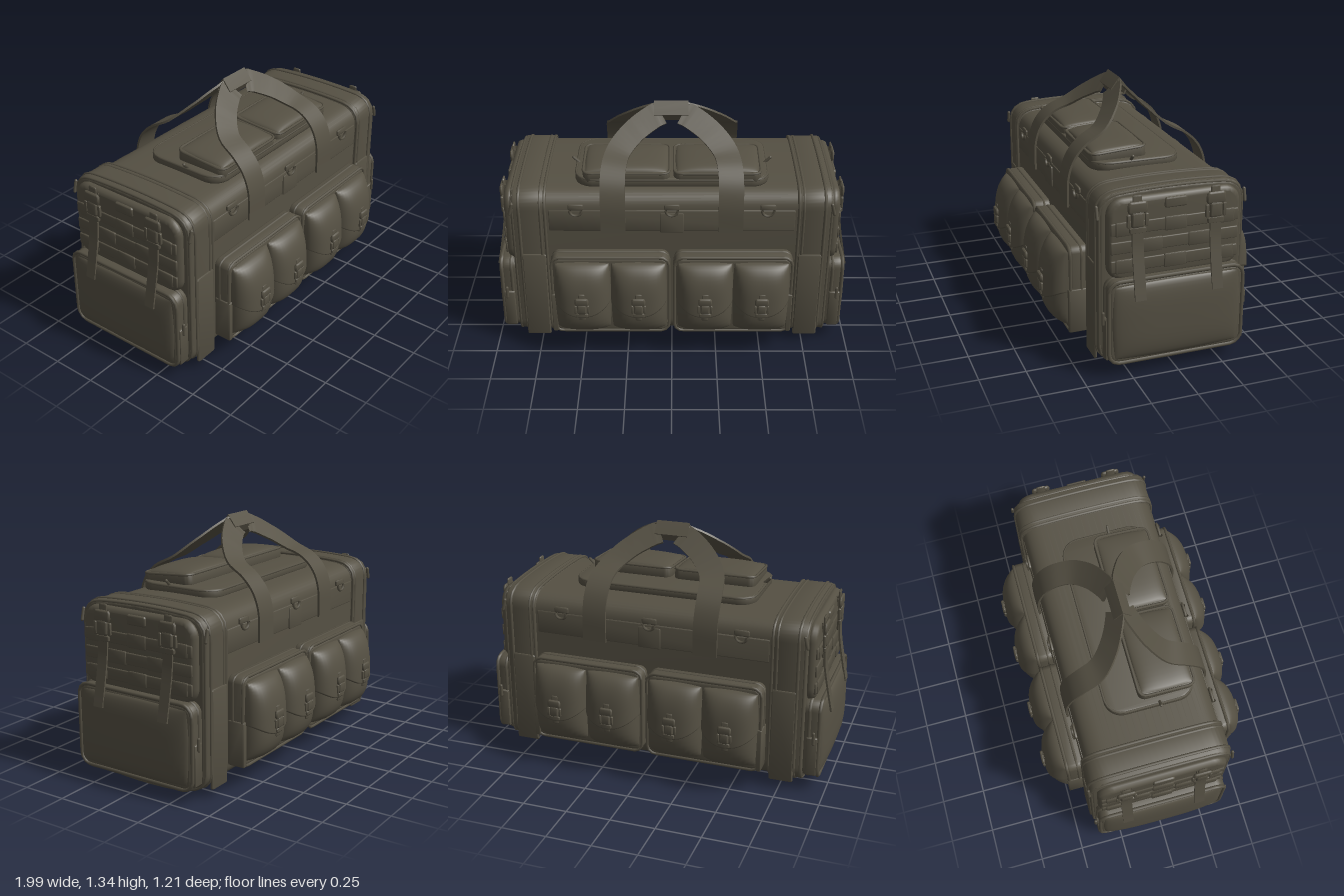
import * as THREE from 'three';
import { toCreasedNormals } from 'three/addons/utils/BufferGeometryUtils.js';

const fabric = new THREE.MeshStandardMaterial({ color: 0x555043, side: THREE.DoubleSide });
fabric.name = 'olive fabric';

function add(parent, name, geo, x = 0, y = 0, z = 0) {
  const mesh = new THREE.Mesh(geo, fabric);
  mesh.name = name;
  mesh.position.set(x, y, z);
  parent.add(mesh);
  return mesh;
}

function roundRect(w, h, r) {
  const s = new THREE.Shape(), a = w / 2, b = h / 2;
  s.absarc(a - r, b - r, r, 0, Math.PI / 2);
  s.absarc(-a + r, b - r, r, Math.PI / 2, Math.PI);
  s.absarc(-a + r, -b + r, r, Math.PI, Math.PI * 1.5);
  s.absarc(a - r, -b + r, r, Math.PI * 1.5, Math.PI * 2);
  s.closePath();
  return s;
}

function extrude(shape, depth, bevel, curveSegments) {
  const geo = new THREE.ExtrudeGeometry(shape, {
    depth: depth - 2 * bevel, bevelEnabled: bevel > 0, bevelThickness: bevel,
    bevelSize: bevel, bevelOffset: -bevel, bevelSegments: 2, curveSegments,
  });
  geo.translate(0, 0, bevel);
  return toCreasedNormals(geo, 0.9);
}

// Rounded slab growing outward from z
function pad(parent, name, w, h, d, r, x, y, z, bevel = Math.min(0.012, d * 0.4, w * 0.2, h * 0.2)) {
  const corner = Math.max(r, bevel * 1.3);
  return add(parent, name, extrude(roundRect(w, h, corner), d, bevel, corner < 0.03 ? 2 : 4), x, y, z);
}

// Closed cord following a shape
function cord(parent, name, shape, radius, x, y, z) {
  const pts = shape.getSpacedPoints(72).slice(0, -1).map(p => new THREE.Vector3(p.x, p.y, 0));
  const curve = new THREE.CatmullRomCurve3(pts, true);
  return add(parent, name, new THREE.TubeGeometry(curve, 80, radius, 6, true), x, y, z);
}

// Stuffed panel; with a flap it covers only the part above a curved lower edge
function puff(parent, name, w, h, depth, x, y, z, flap = false, taper = 0.12) {
  const geo = new THREE.PlaneGeometry(2, 2, 18, 18), p = geo.attributes.position;
  for (let i = 0; i < p.count; i++) {
    const px = p.getX(i), py = p.getY(i);
    const u = Math.sin(px * Math.PI / 2);
    let v = Math.sin(py * Math.PI / 2);
    if (flap) { const low = -0.35 + 0.3 * u * u; v = low + (1 - low) * (v + 1) / 2; }
    const bulge = Math.sqrt(Math.max(0, (1 - Math.abs(u) ** 3) * (1 - Math.abs(v) ** 3)));
    const lift = flap && Math.abs(px) < 0.99 && py > -0.99 ? 0.012 : 0;
    p.setXYZ(i, u * w / 2 * Math.sqrt(1 - 0.08 * v * v), v * h / 2 * Math.sqrt(1 - 0.08 * u * u),
      depth * bulge * (1 - taper * (v + 0.35)) + lift);
  }
  geo.computeVertexNormals();
  return add(parent, name, geo, x, y, z);
}

// Flat webbing lying on a sheet that runs along x
function ribbon(parent, name, points, width, thick) {
  const curve = new THREE.CatmullRomCurve3(points.map(p => new THREE.Vector3(...p)));
  const n = 32, pos = [], idx = [];
  for (let i = 0; i <= n; i++) {
    const c = curve.getPoint(i / n), t = curve.getTangent(i / n);
    const nor = new THREE.Vector3(0, t.z, -t.y).normalize();
    const side = new THREE.Vector3().crossVectors(nor, t).normalize();
    for (const [a, b] of [[-1, -1], [1, -1], [1, 1], [-1, 1]]) {
      const q = c.clone().addScaledVector(side, a * width / 2).addScaledVector(nor, b * thick / 2);
      pos.push(q.x, q.y, q.z);
    }
    if (i < n) for (let k = 0; k < 4; k++) {
      const a = i * 4 + k, b = i * 4 + (k + 1) % 4;
      idx.push(a, b, a + 4, b, b + 4, a + 4);
    }
  }
  const geo = new THREE.BufferGeometry();
  geo.setAttribute('position', new THREE.Float32BufferAttribute(pos, 3));
  geo.setIndex(idx);
  return add(parent, name, toCreasedNormals(geo, 0.7));
}

function buckle(parent, x, y, z, s) {
  const g = new THREE.Group();
  g.name = 'buckle';
  pad(g, 'buckleStrap', 0.036, 0.17, 0.012, 0.004, 0, 0, -0.008);
  pad(g, 'buckleTop', 0.075, 0.045, 0.018, 0.012, 0, 0.04, 0);
  pad(g, 'buckleBody', 0.05, 0.06, 0.02, 0.01, 0, -0.005, 0);
  pad(g, 'buckleBar', 0.064, 0.022, 0.018, 0.008, 0, -0.045, 0);
  for (const k of [-1, 1]) pad(g, 'buckleProng', 0.012, 0.05, 0.016, 0.005, k * 0.034, -0.008, 0);
  g.position.set(x, y, z);
  g.scale.set(s, s, 1);
  parent.add(g);
}

function zipPull(parent, x, y, z, tilt) {
  const m = add(parent, 'zipPull', new THREE.CapsuleGeometry(0.009, 0.06, 3, 6), x, y, z);
  m.rotation.z = tilt;
}

// Bag cross-section with a sagging base, x across and y up
function section(inset) {
  const a = 0.395 - inset, t = 0.985 - inset, b = 0.015 + inset * 0.3, s = new THREE.Shape();
  s.moveTo(0, b);
  s.quadraticCurveTo(0.22, b, 0.31, b + 0.03);
  s.quadraticCurveTo(a, b + 0.05, a, b + 0.13);
  s.lineTo(a, t - 0.12);
  s.quadraticCurveTo(a, t - 0.02, a - 0.11, t - 0.01);
  s.quadraticCurveTo(0.15, t, 0, t);
  s.quadraticCurveTo(-0.15, t, -a + 0.11, t - 0.01);
  s.quadraticCurveTo(-a, t - 0.02, -a, t - 0.12);
  s.lineTo(-a, b + 0.13);
  s.quadraticCurveTo(-a, b + 0.05, -0.31, b + 0.03);
  s.quadraticCurveTo(-0.22, b, 0, b);
  return s;
}

// One long face: pockets, pouches, flap band, rings
function longSide() {
  const g = new THREE.Group();
  pad(g, 'flapBand', 1.34, 0.13, 0.012, 0.005, 0, 0.8, 0.375);
  pad(g, 'centrePatch', 0.13, 0.12, 0.012, 0.004, 0, 0.79, 0.384);
  for (const x of [-0.52, 0, 0.52]) {
    pad(g, 'ringTab', 0.085, 0.035, 0.014, 0.01, x, 0.885, 0.38);
    const ring = add(g, 'carryRing', new THREE.TorusGeometry(0.032, 0.008, 6, 14, Math.PI), x, 0.87, 0.398);
    ring.rotation.z = Math.PI;
  }
  for (const k of [-1, 1]) {
    pad(g, 'flankPanel', 0.135, 0.54, 0.018, 0.01, k * 0.762, 0.32, 0.386);
    pad(g, 'strapStitchBox', 0.135, 0.13, 0.012, 0.004, k * 0.32, 0.797, 0.39);
    pad(g, 'pocketBase', 0.65, 0.49, 0.11, 0.045, k * 0.338, 0.375, 0.37, 0.02);
    pad(g, 'pocketGusset', 0.03, 0.25, 0.1, 0.01, k * 0.655, 0.257, 0.387);
    for (const z of [0.415, 0.475])
      cord(g, 'pocketPiping', roundRect(0.645, 0.485, 0.045), 0.009, k * 0.338, 0.375, z);
    for (const x of [0.182, 0.492]) {
      puff(g, 'pouch', 0.31, 0.44, 0.11, k * x, 0.375, 0.472);
      puff(g, 'pouchFlap', 0.312, 0.442, 0.11, k * x, 0.375, 0.472, true);
      buckle(g, k * x, 0.365, 0.584, 1);
    }
    zipPull(g, k * 0.87, 0.88, 0.4, k * 0.25);
  }
  return g;
}

// One short end: webbing panel, straps, pocket
function endSide() {
  const g = new THREE.Group();
  pad(g, 'webbingPanel', 0.72, 0.44, 0.06, 0.09, 0, 0.735, 0.855, 0.025);
  for (const y of [0.6, 0.7, 0.8]) {
    pad(g, 'webbingRow', 0.69, 0.065, 0.014, 0.005, 0, y, 0.908);
    for (let i = -2; i <= 2; i++)
      if ((i + Math.round(y * 10)) % 2 === 0) pad(g, 'webbingLoop', 0.12, 0.075, 0.014, 0.004, i * 0.13, y, 0.914);
  }
  pad(g, 'webbingTab', 0.12, 0.055, 0.02, 0.005, 0, 0.91, 0.905);
  pad(g, 'endPocket', 0.74, 0.46, 0.105, 0.06, 0, 0.305, 0.855, 0.02);
  puff(g, 'endPocketFront', 0.7, 0.42, 0.037, 0, 0.305, 0.959, false, 0.1);
  for (const z of [0.9, 0.955])
    cord(g, 'endPocketPiping', roundRect(0.735, 0.455, 0.06), 0.011, 0, 0.305, z);
  for (const k of [-1, 1]) {
    pad(g, 'endPocketGusset', 0.02, 0.23, 0.06, 0.008, k * 0.372, 0.215, 0.89);
    ribbon(g, 'compressionStrap', [[k * 0.21, 0.94, 0.915], [k * 0.21, 0.84, 0.932],
      [k * 0.21, 0.7, 0.94], [k * 0.21, 0.55, 0.966], [k * 0.21, 0.43, 0.99]], 0.06, 0.01);
    buckle(g, k * 0.21, 0.855, 0.928, 1.4);
    zipPull(g, k * 0.39, 0.33, 0.93, 0);
  }
  return g;
}

export function createModel() {
  const bag = new THREE.Group();
  bag.name = 'duffelBag';

  // Body and its end sections
  const body = (name, inset, x0, x1, bevel) => {
    add(bag, name, extrude(section(inset), x1 - x0, bevel, 8), x0, 0, 0).rotation.y = Math.PI / 2;
  };
  body('mainBody', 0.013, -0.7, 0.7, 0);
  body('leftEndSection', 0, 0.68, 0.875, 0.02);
  body('rightEndSection', 0, -0.875, -0.68, 0.02);
  for (const k of [-1, 1]) for (const [x, inset] of [[0.69, 0.003], [0.715, 0.003], [0.83, 0], [0.865, 0.008]])
    cord(bag, 'endPiping', section(inset), 0.009, k * x, 0, 0).rotation.y = Math.PI / 2;

  // Base plate and seams
  add(bag, 'basePlate', new THREE.BoxGeometry(1.0, 0.016, 0.23), 0, 0.009, 0);
  for (const k of [-1, 1])
    add(bag, 'baseSeam', new THREE.BoxGeometry(1.36, 0.012, 0.02), 0, 0.028, k * 0.24);

  for (let i = 0; i < 2; i++) {
    const side = longSide(), end = endSide();
    side.name = i ? 'backFace' : 'frontFace';
    side.rotation.y = i * Math.PI;
    end.name = i ? 'rightEnd' : 'leftEnd';
    end.rotation.y = i ? -Math.PI / 2 : Math.PI / 2;
    bag.add(side, end);
  }

  // Top lid with two slanted pockets
  const lid = new THREE.Group();
  lid.name = 'topLid';
  lid.rotation.x = -Math.PI / 2;
  pad(lid, 'lidPanel', 1.06, 0.5, 0.05, 0.1, 0, -0.05, 0.96);
  cord(lid, 'lidZip', roundRect(1.05, 0.49, 0.1), 0.008, 0, -0.05, 1.003);
  const pockets = new THREE.Group();
  pockets.name = 'lidPockets';
  pockets.position.set(0, -0.14, 0.99);
  pockets.rotation.x = 0.07;
  for (const k of [-1, 1]) {
    pad(pockets, 'lidPocket', 0.475, 0.315, 0.068, 0.04, k * 0.247, 0, 0, 0.012);
    puff(pockets, 'lidPocketTop', 0.455, 0.295, 0.03, k * 0.247, 0, 0.067);
    cord(pockets, 'lidPocketPiping', roundRect(0.47, 0.31, 0.04), 0.008, k * 0.247, 0, 0.064);
  }
  lid.add(pockets);
  bag.add(lid);
  for (const k of [-1, 1]) zipPull(bag, k * 0.525, 1.015, 0.09, -k * 0.8);

  // Carry straps, four mirrored quarters
  for (const kx of [-1, 1]) for (const kz of [-1, 1])
    ribbon(bag, 'carryStrap', [[0.32, 0.73, 0.398], [0.32, 0.9, 0.392], [0.32, 1.0, 0.355], [0.315, 1.07, 0.29],
      [0.29, 1.125, 0.19], [0.21, 1.2, 0.105], [0.1, 1.265, 0.045], [0.06, 1.28, 0.032]]
      .map(([x, y, z]) => [x * kx, y, z * kz]), 0.135, 0.012);

  // Folded grip sleeve
  const loop = (s) => [[0, 0.055], [0.028, 0.02], [0.05, -0.01], [0.03, -0.048], [-0.03, -0.048], [-0.05, -0.01], [-0.028, 0.02]]
    .map(([x, y]) => new THREE.Vector2(x * s, y * s));
  const sleeve = new THREE.Shape(loop(1));
  sleeve.holes.push(new THREE.Path(loop(0.82)));
  add(bag, 'gripSleeve', extrude(sleeve, 0.19, 0, 1), -0.1, 1.285, 0).rotation.y = Math.PI / 2;
  return bag;
}
